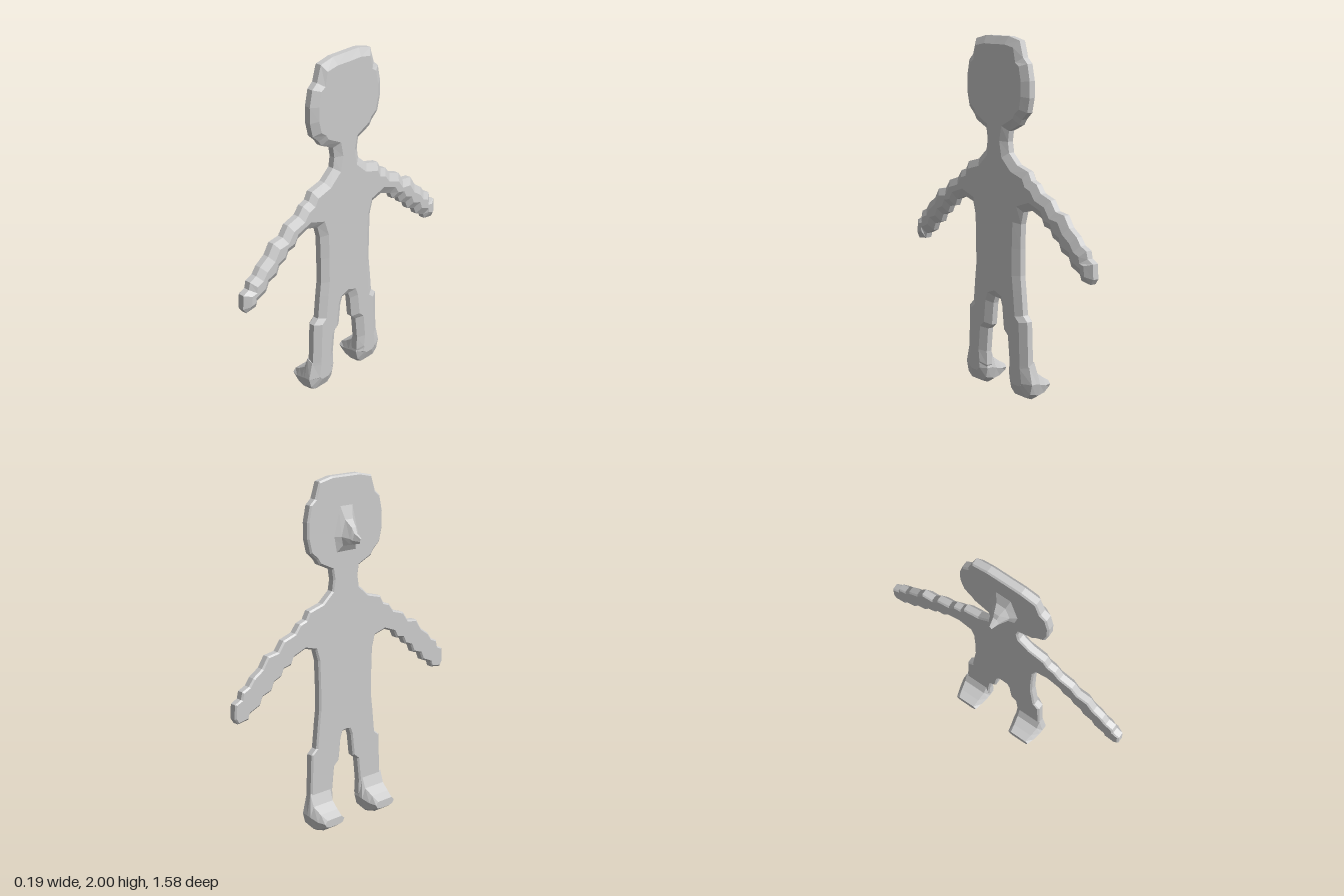
import * as THREE from 'three';

const material = new THREE.MeshStandardMaterial({ color: 0xcccccc, flatShading: true });

// Skins a stack of cross-sections lying in the zy plane, ordered from -x to +x.
// Each section is { x, pts } with pts an array of Vector2(z, y).
function loft(name, sections) {
  if (THREE.ShapeUtils.isClockWise(sections[0].pts)) sections.forEach(s => s.pts.reverse());
  const n = sections[0].pts.length;
  const position = [], index = [];
  for (const { x, pts } of sections) for (const p of pts) position.push(x, p.y, p.x);
  for (let k = 0; k < sections.length - 1; k++) {
    for (let i = 0; i < n; i++) {
      const j = (i + 1) % n, a = k * n, b = a + n;
      index.push(b + i, b + j, a + j, b + i, a + j, a + i);
    }
  }
  const cap = (k, flip) => {
    const pts = sections[k].pts;
    for (let [a, b, c] of THREE.ShapeUtils.triangulateShape(pts.slice(), [])) {
      const area = (pts[b].x - pts[a].x) * (pts[c].y - pts[a].y) - (pts[c].x - pts[a].x) * (pts[b].y - pts[a].y);
      if ((area < 0) !== flip) [b, c] = [c, b];
      index.push(k * n + a, k * n + b, k * n + c);
    }
  };
  cap(0, false);
  cap(sections.length - 1, true);
  const geometry = new THREE.BufferGeometry();
  geometry.setAttribute('position', new THREE.Float32BufferAttribute(position, 3));
  geometry.setIndex(index);
  const flat = geometry.toNonIndexed();
  flat.computeVertexNormals();
  const mesh = new THREE.Mesh(flat, material);
  mesh.name = name;
  return mesh;
}

// Moves a counter-clockwise outline inwards along smoothed normals
function inset(pts, d) {
  const n = pts.length;
  return pts.map((p, i) => {
    const t = new THREE.Vector2();
    for (const s of [1, 2]) t.add(pts[(i + s) % n]).sub(pts[(i - s + n) % n]);
    t.normalize();
    return new THREE.Vector2(p.x - t.y * d, p.y + t.x * d);
  });
}

// Half outlines as [z, y], running from the crown down to the crotch
const head = [
  [0, 2], [0.1, 2], [0.19, 1.98], [0.22, 1.89], [0.255, 1.86], [0.275, 1.77], [0.275, 1.68],
  [0.255, 1.6], [0.21, 1.56], [0.19, 1.53], [0.1, 1.49], [0.09, 1.43], [0.1, 1.37], [0.17, 1.31],
];
const arm = [
  [0.265, 1.285], [0.29, 1.24], [0.335, 1.225], [0.37, 1.18], [0.45, 1.155], [0.49, 1.1],
  [0.56, 1.09], [0.6, 1.03], [0.66, 0.99], [0.69, 0.95], [0.735, 0.93], [0.745, 0.89],
  [0.785, 0.87], [0.79, 0.79], [0.77, 0.76], [0.7, 0.77], [0.69, 0.8], [0.62, 0.83],
  [0.6, 0.875], [0.54, 0.895], [0.52, 0.94], [0.47, 0.96], [0.45, 1], [0.4, 1.01],
  [0.38, 1.05], [0.3, 1.08], [0.225, 1.06],
];
const leg = [
  [0.205, 0.99], [0.2, 0.85], [0.2, 0.7], [0.21, 0.62], [0.225, 0.48], [0.26, 0.45],
  [0.27, 0.2], [0.275, 0.12], [0.25, 0.05], [0.14, 0.05], [0.1, 0.12], [0.105, 0.2],
  [0.09, 0.34], [0.055, 0.37], [0.04, 0.5], [0.025, 0.54], [0, 0.54],
];

// Flat figure with a small bevel in front and a wide one behind
function makeBody() {
  const half = [...head, ...arm, ...leg];
  const mirrored = half.slice(1, -1).reverse().map(([z, y]) => [-z, y]);
  const outline = [...half, ...mirrored].map(([z, y]) => new THREE.Vector2(z, y)).reverse();
  return loft('body', [[0.022, 0.01], [0.03, 0], [0.065, 0], [0.09, 0.045]]
    .map(([x, d]) => ({ x, pts: inset(outline, d) })));
}

// Eight-sided foot sections: x, inner z, outer z, bottom y, top y
function makeFoot(side) {
  const rows = [
    [-0.095, 0.125, 0.27, 0.045, 0.09], [-0.05, 0.115, 0.285, 0.015, 0.115],
    [0, 0.103, 0.297, 0.003, 0.15], [0.025, 0.1, 0.3, 0, 0.22],
    [0.062, 0.1, 0.3, 0.015, 0.2], [0.09, 0.14, 0.24, 0.08, 0.18],
  ];
  return loft(side > 0 ? 'leftFoot' : 'rightFoot', rows.map(([x, a, b, lo, hi]) => {
    const w = b - a, low = lo + (hi - lo) * 0.15, mid = Math.min(lo + (hi - lo) * 0.6, 0.1);
    return {
      x,
      pts: [[a + w * 0.25, lo], [b - w * 0.25, lo], [b - w * 0.08, low], [b, mid],
        [b - w * 0.13, hi], [a + w * 0.13, hi], [a, mid], [a + w * 0.08, low]]
        .map(([z, y]) => new THREE.Vector2(z * side, y)),
    };
  }));
}

// Pointed nose, sections: x, half width, bottom y, top y
function makeNose() {
  const rows = [
    [-0.095, 0.008, 1.64, 1.665], [-0.052, 0.022, 1.63, 1.69], [-0.038, 0.03, 1.627, 1.72],
    [0, 0.055, 1.62, 1.76], [0.03, 0.1, 1.57, 1.86],
  ];
  return loft('nose', rows.map(([x, w, lo, hi]) => ({
    x,
    pts: [[-w * 0.8, lo], [w * 0.8, lo], [w, lo + (hi - lo) * 0.35], [w * 0.5, hi],
      [-w * 0.5, hi], [-w, lo + (hi - lo) * 0.35]].map(([z, y]) => new THREE.Vector2(z, y)),
  })));
}

export function createModel() {
  const group = new THREE.Group();
  group.name = 'flatFigure';
  group.add(makeBody(), makeNose(), makeFoot(1), makeFoot(-1));
  return group;
}
